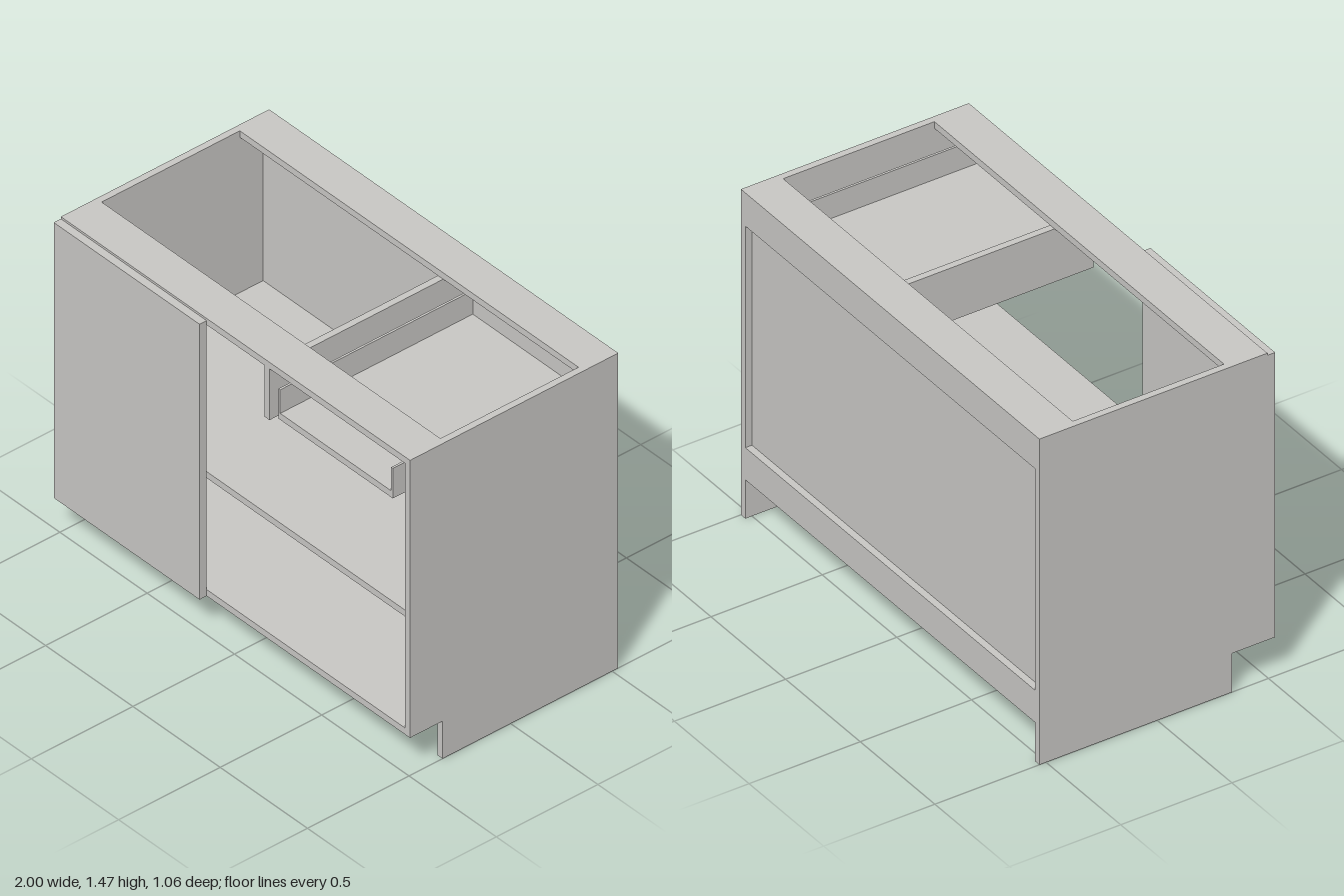
import * as THREE from 'three';

export function createModel() {
  const model = new THREE.Group();
  model.name = 'baseCabinet';
  const paint = new THREE.MeshStandardMaterial({ color: 0xc8c7c4 });
  paint.name = 'paleGrey';

  // Box given by its minimum and maximum along each axis
  const board = (name, [x0, x1], [y0, y1], [z0, z1], parent = model) => {
    const mesh = new THREE.Mesh(new THREE.BoxGeometry(x1 - x0, y1 - y0, z1 - z0), paint);
    mesh.position.set((x0 + x1) / 2, (y0 + y1) / 2, (z0 + z1) / 2);
    mesh.name = name;
    parent.add(mesh);
  };

  const T = 0.03, front = 0.495, back = -0.53, top = 1.47, base = 0.175;
  const inner = [-1 + T, 1 - T];

  // Side panels with a toe-kick notch at the lower front
  const outline = new THREE.Shape([
    [back, 0], [0.335, 0], [0.335, base], [front, base], [front, top], [back, top],
  ].map(([z, y]) => new THREE.Vector2(-z, y)));
  for (const [name, x] of [['rightSidePanel', -1], ['leftSidePanel', 1 - T]]) {
    const geometry = new THREE.ExtrudeGeometry(outline, { depth: T, bevelEnabled: false });
    geometry.rotateY(Math.PI / 2);
    const panel = new THREE.Mesh(geometry, paint);
    panel.position.x = x;
    panel.name = name;
    model.add(panel);
  }

  // Carcass
  board('bottomPanel', inner, [base, base + T], [back, front]);
  board('frontTopRail', inner, [top - T, top], [0.32, front]);
  board('backTopRail', inner, [top - T, top], [back, -0.36]);
  board('backUpperBrace', inner, [1.32, top - T], [back, back + T]);
  board('backLowerBrace', inner, [base + T, 0.32], [back, back + T]);
  board('backPanel', inner, [base + T, top - T], [-0.5, -0.475]);
  board('shelf', inner, [0.685, 0.715], [-0.475, 0.46]);
  board('divider', [0.165, 0.195], [1.2, top - T], [-0.475, front]);

  // Door over the right half
  board('door', [-1, -0.165], [base, 1.46], [front, 0.53]);

  // Open-fronted pull-out tray
  const tray = new THREE.Group();
  tray.name = 'tray';
  model.add(tray);
  const trayZ = [-0.46, 0.498];
  board('trayBottom', [0.25, 0.905], [1.24, 1.27], trayZ, tray);
  board('traySide', [0.25, 0.26], [1.27, 1.38], trayZ, tray);
  board('traySide', [0.895, 0.905], [1.27, 1.38], trayZ, tray);
  board('trayBack', [0.26, 0.895], [1.27, 1.38], [-0.46, -0.45], tray);

  return model;
}
